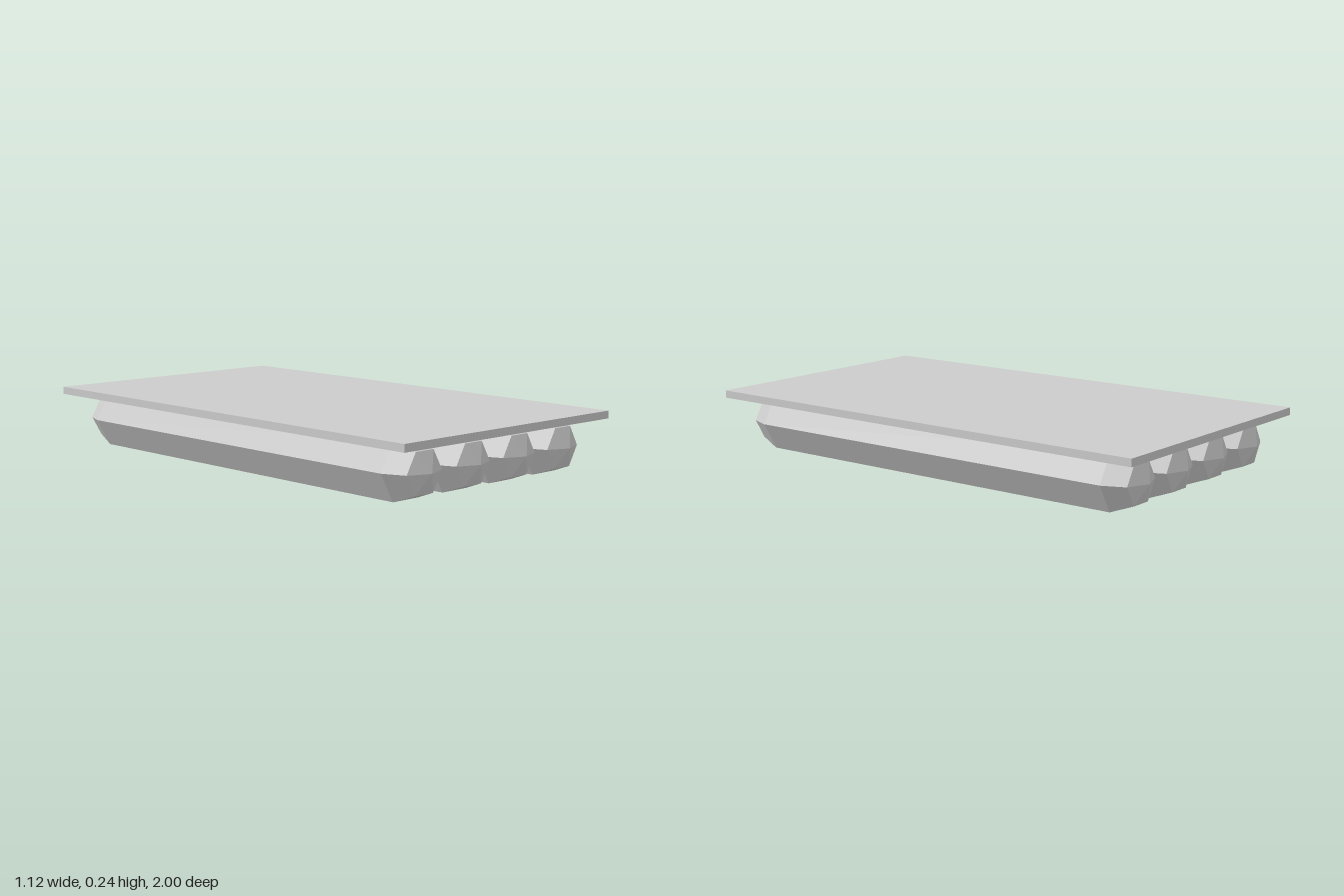
import * as THREE from 'three';

export function createModel() {
  const group = new THREE.Group();
  group.name = 'raft';
  const material = new THREE.MeshStandardMaterial({ color: 0xcccccc, flatShading: true });

  // Flat deck, resting slightly sunk onto the floats
  const deck = new THREE.Mesh(new THREE.BoxGeometry(1.118, 0.03, 2), material);
  deck.name = 'deck';
  deck.position.y = 0.225;
  group.add(deck);

  // Six-sided float with faceted rounded ends, lying along z
  const radius = 0.126;
  const profile = [
    [0, -0.96], [radius * Math.SQRT1_2, -0.924], [radius, -0.835],
    [radius, 0.835], [radius * Math.SQRT1_2, 0.924], [0, 0.96],
  ].map(([r, y]) => new THREE.Vector2(r, y));
  const floatGeometry = new THREE.LatheGeometry(profile, 6, Math.PI / 2).rotateX(Math.PI / 2);

  // Four floats side by side
  for (let i = 0; i < 4; i++) {
    const float = new THREE.Mesh(floatGeometry, material);
    float.name = `float${i + 1}`;
    float.position.set((i - 1.5) * 0.2525, radius * Math.sqrt(3) / 2 + 0.001, 0);
    group.add(float);
  }

  return group;
}
